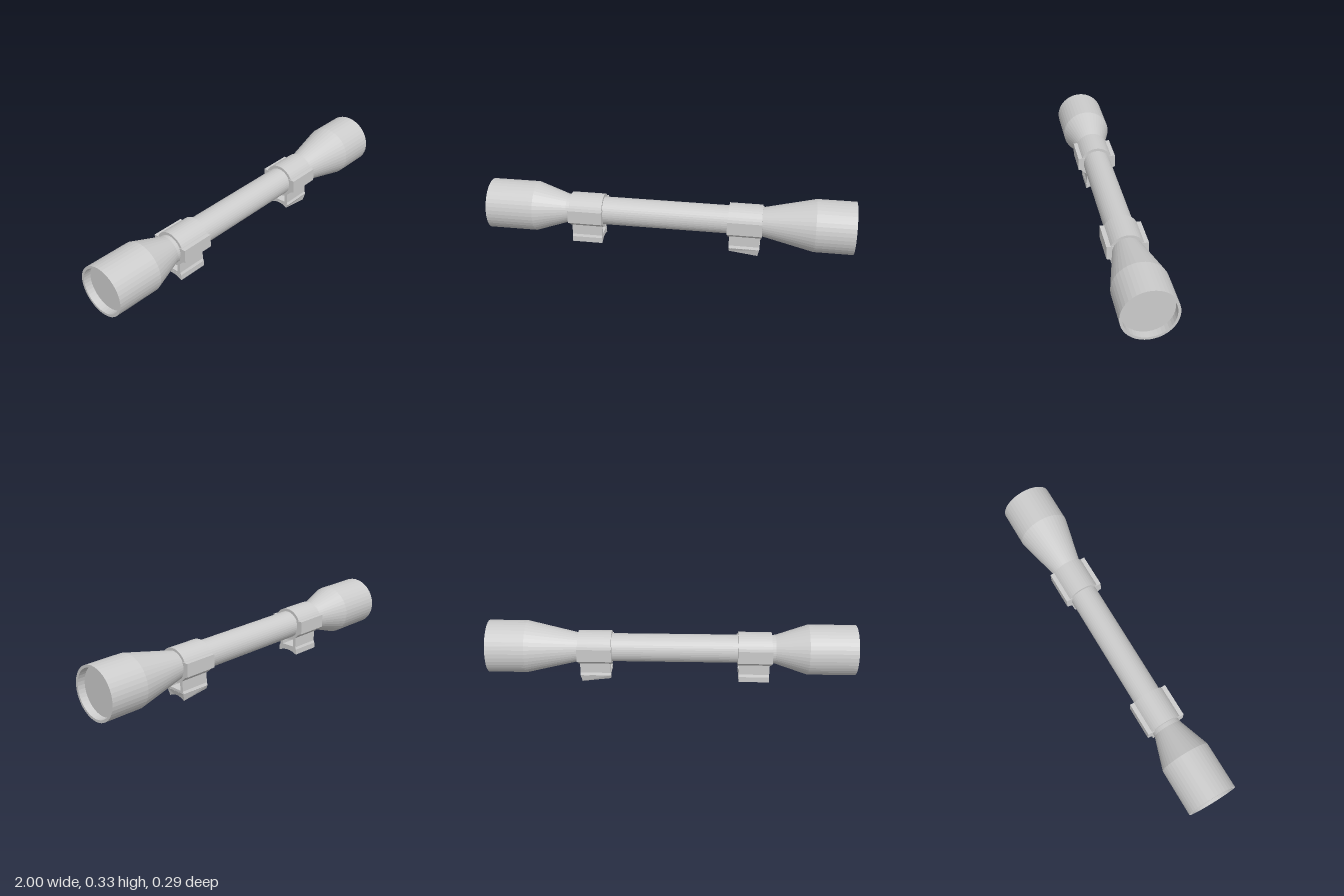
import * as THREE from 'three';

const AXIS_Y = 0.187;
const WIDTH = 0.175;
const material = new THREE.MeshStandardMaterial({ color: 0xcccccc, flatShading: true });

function addMesh(parent, name, geometry) {
  const mesh = new THREE.Mesh(geometry, material);
  mesh.name = name;
  parent.add(mesh);
  return mesh;
}

// Extrudes a (z, y) outline along x, centred on x = 0
function extrudeAlongX(shape, width) {
  const geometry = new THREE.ExtrudeGeometry(shape, { depth: width, bevelEnabled: false, curveSegments: 12 });
  return geometry.translate(0, 0, -width / 2).rotateY(Math.PI / 2);
}

const outline = (pairs) => new THREE.Shape(pairs.map(([z, y]) => new THREE.Vector2(z, y)));

// Ring, side flanges and the arched foot; the front foot slopes and tapers
function createMount(name, x, sloped) {
  const mount = new THREE.Group();
  mount.name = name;
  mount.position.x = x;

  const ring = new THREE.CylinderGeometry(0.093, 0.093, WIDTH + 0.006, 40);
  addMesh(mount, 'clampRing', ring.rotateZ(Math.PI / 2)).position.y = AXIS_Y;

  for (const side of [-1, 1]) {
    const pairs = [[0.07, 0.225], [0.07, 0.125], [0.09, 0.145], [0.108, 0.152], [0.108, 0.225]];
    const flange = outline(pairs.map(([z, y]) => [z * side, y]));
    addMesh(mount, side > 0 ? 'leftFlange' : 'rightFlange', extrudeAlongX(flange, WIDTH + 0.012));
  }

  // Saddle walls with a window running through below the ring
  const saddle = outline([[-0.063, 0.042], [0.063, 0.042], [0.057, 0.056], [0.057, 0.16], [-0.057, 0.16], [-0.057, 0.056]]);
  const window = new THREE.Path();
  window.moveTo(-0.038, 0.056).lineTo(-0.038, 0.115).lineTo(0.038, 0.115).lineTo(0.038, 0.056).closePath();
  saddle.holes.push(window);
  addMesh(mount, 'saddle', extrudeAlongX(saddle, WIDTH - 0.008));

  // Foot with concave underside
  const bottomZ = sloped ? 0.053 : 0.063;
  const foot = new THREE.Shape();
  foot.moveTo(0.063, 0.043).lineTo(-0.063, 0.043).lineTo(-bottomZ, 0.012);
  foot.quadraticCurveTo(0, 0.045, bottomZ, 0.012).closePath();
  const footGeometry = extrudeAlongX(foot, WIDTH - 0.007);
  if (sloped) {
    const p = footGeometry.attributes.position;
    for (let i = 0; i < p.count; i++) {
      if (p.getY(i) > 0.04) continue;
      const px = p.getX(i);
      p.setY(i, p.getY(i) - px * 0.12 - 0.002);
      if (px > 0) p.setX(i, px - 0.009);
    }
    footGeometry.computeVertexNormals();
  }
  addMesh(mount, 'foot', footGeometry);
  return mount;
}

export function createModel() {
  const model = new THREE.Group();
  model.name = 'sightingScope';

  // Whole tube as one turned profile: [radius, x], with recessed lenses at both ends
  const profile = [
    [0.123, -0.96], [0.123, -1], [0.137, -1], [0.137, -0.74], [0.079, -0.565],
    [0.077, -0.54], [0.077, 0.5], [0.143, 0.79], [0.143, 1], [0.129, 1], [0.129, 0.96],
  ].map(([r, x]) => new THREE.Vector2(r, x));
  const tube = new THREE.LatheGeometry(profile, 40).rotateZ(-Math.PI / 2);
  addMesh(model, 'tube', tube).position.y = AXIS_Y;

  for (const [name, side, radius] of [['frontLens', 1, 0.129], ['rearLens', -1, 0.123]]) {
    const lens = addMesh(model, name, new THREE.CircleGeometry(radius, 40).rotateY(side * Math.PI / 2));
    lens.position.set(side * 0.96, AXIS_Y, 0);
  }

  model.add(createMount('rearMount', -0.453, false), createMount('frontMount', 0.418, true));
  return model;
}
